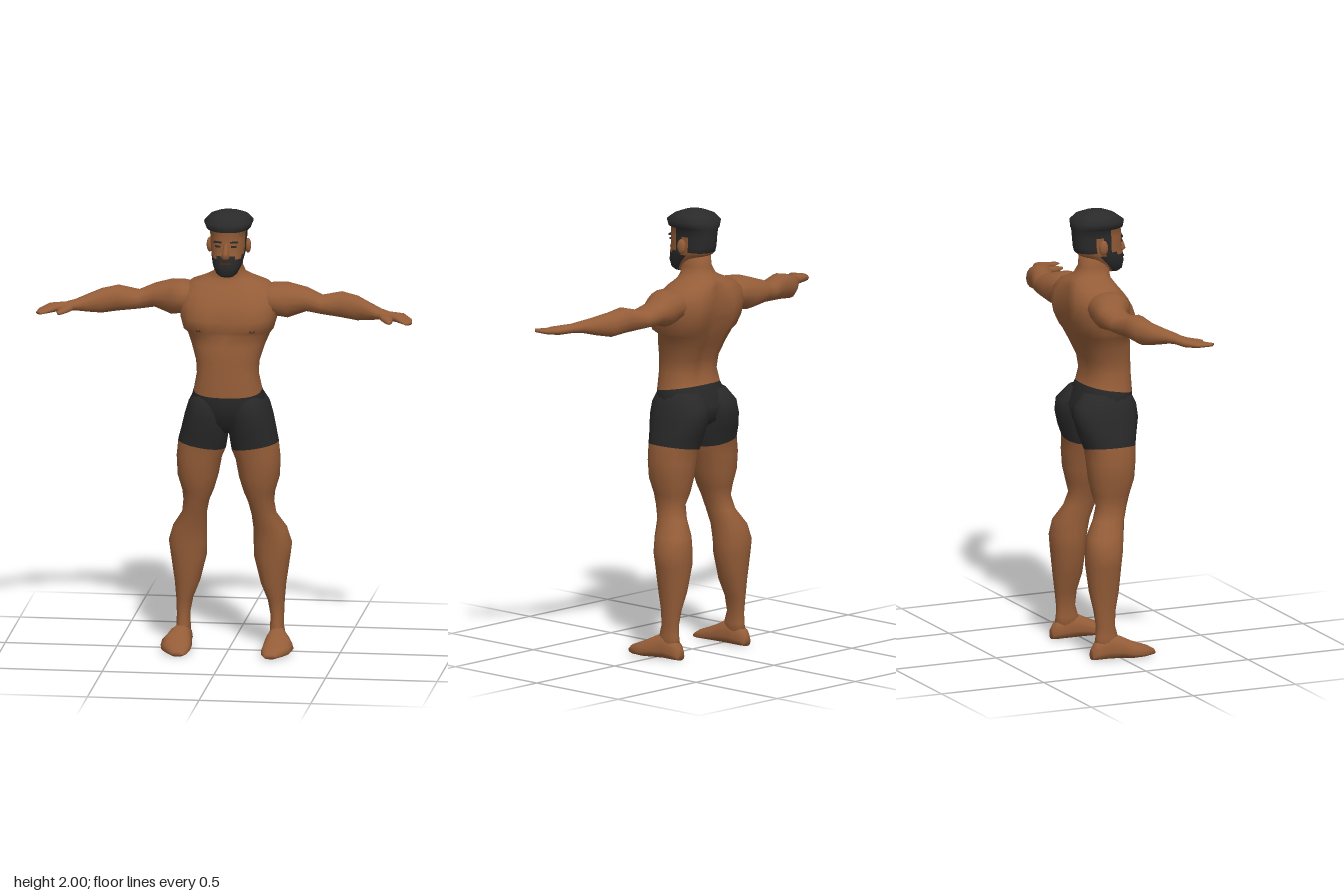
import * as THREE from 'three';

const mat = (name, color) => {
  const m = new THREE.MeshStandardMaterial({ color });
  m.name = name;
  return m;
};
const skin = mat('skin', 0x955d38);
const shorts = mat('shorts fabric', 0x282828);
const hair = mat('hair', 0x2a2a2a);
const dark = mat('dark brown', 0x4a2a1c);

// Closed skin through rings of points; pick(row, angle) gives the material index of a cell.
function loft(name, rings, mats, pick = () => 0, side = 1) {
  const n = rings[0].length, pos = [], cells = mats.map(() => []);
  rings.forEach(r => r.forEach(p => pos.push(p[0] * side, p[1], p[2])));
  const tri = (m, a, b, c) => (side > 0 ? cells[m].push(a, b, c) : cells[m].push(a, c, b));
  for (let i = 0; i < rings.length - 1; i++)
    for (let j = 0; j < n; j++) {
      const k = (j + 1) % n, a = i * n + j, b = i * n + k, c = a + n, d = b + n;
      const m = pick(i, ((j + 0.5) / n) * Math.PI * 2);
      tri(m, a, c, b);
      tri(m, b, c, d);
    }
  // end caps
  [0, rings.length - 1].forEach(i => {
    const centre = [0, 1, 2].map(q => rings[i].reduce((s, p) => s + p[q], 0) / n);
    const id = pos.length / 3, m = pick(i ? i - 1 : 0, 0);
    pos.push(centre[0] * side, centre[1], centre[2]);
    for (let j = 0; j < n; j++) {
      const a = i * n + j, b = i * n + ((j + 1) % n);
      if (i) tri(m, a, id, b); else tri(m, a, b, id);
    }
  });
  const g = new THREE.BufferGeometry();
  g.setAttribute('position', new THREE.Float32BufferAttribute(pos, 3));
  let start = 0;
  cells.forEach((c, m) => { g.addGroup(start, c.length, m); start += c.length; });
  g.setIndex(cells.flat());
  g.computeVertexNormals();
  const mesh = new THREE.Mesh(g, mats);
  mesh.name = name;
  return mesh;
}

// Super-ellipse outline as pairs of values from -1 to 1.
const outline = (n, e) => Array.from({ length: n }, (_, j) => {
  const a = (j / n) * Math.PI * 2, f = v => (Math.abs(v) < 1e-9 ? 0 : Math.sign(v) * Math.abs(v) ** (2 / e));
  return [f(Math.cos(a)), f(Math.sin(a))];
});

// Level ring: height, x range, z range, roundness, front dip, outer tilt, spine and chest grooves.
const level = (n, y, x0, x1, zf, zb, e = 2.2, dip = 0, tilt = 0, back = 0, front = 0) =>
  outline(n, e).map(([u, v]) => {
    const groove = Math.max(0, 1 - Math.abs(u) * 3.5) * (v < 0 ? back : -front);
    return [(x0 + x1) / 2 + u * (x1 - x0) / 2, y - dip * v + tilt * u, (zf + zb) / 2 + v * (zf - zb) / 2 + groove];
  });

// Upright ring across a limb: front edge (x, z), back edge (x, z), bottom, top.
const across = (n, xf, zf, xb, zb, y0, y1, e = 2.2) => outline(n, e).map(([u, v]) =>
  [(xf + xb) / 2 + u * (xf - xb) / 2, (y0 + y1) / 2 + v * (y1 - y0) / 2, (zf + zb) / 2 + u * (zf - zb) / 2]);

function plate(name, material, w, h, x, y, z, ry = 0) {
  const m = new THREE.Mesh(new THREE.BoxGeometry(w, h, 0.008), material);
  m.name = name;
  m.position.set(x, y, z);
  m.rotation.y = ry;
  return m;
}

function makeTorso() {
  // height, half width, front, back, roundness, front dip, spine groove, chest groove
  const rows = [
    [1.0, .04, .06, -.04, 2], [1.05, .13, .112, -.12, 2.2], [1.12, .176, .134, -.135, 2.3],
    [1.195, .152, .137, -.088, 2.4, .02], [1.27, .138, .132, -.075, 2.4, 0, .012], [1.33, .142, .13, -.085, 2.4, 0, .015],
    [1.4, .164, .128, -.12, 2.3, 0, .02], [1.45, .185, .115, -.145, 2.3, 0, .025], [1.468, .2, .134, -.153, 2.7, 0, .028, .012],
    [1.52, .215, .14, -.177, 2.7, 0, .035, .014], [1.58, .225, .12, -.19, 2.5, 0, .04, .01], [1.63, .22, .09, -.182, 2.3, 0, .035],
    [1.67, .175, .06, -.165, 2.2, 0, .02], [1.695, .11, .045, -.14, 2.1], [1.715, .073, .045, -.115], [1.75, .06, .05, -.095], [1.82, .057, .05, -.09],
  ];
  const rings = rows.map(([y, w, f, b, e, dip, back, front]) => level(24, y, -w, w, f, b, e, dip, 0, back, front));
  return loft('torso and waistband', rings, [skin, shorts], i => (i < 3 ? 1 : 0));
}

function makeLeg(s) {
  // height, inner x, outer x, front, back
  const rows = [
    [.04, .175, .25, 0, -.12], [.1, .178, .24, -.005, -.11], [.15, .18, .24, -.02, -.108], [.22, .167, .243, -.015, -.117],
    [.3, .135, .25, .003, -.13], [.42, .105, .268, .015, -.142], [.48, .104, .276, .02, -.145], [.55, .104, .255, .03, -.135],
    [.62, .1, .211, .048, -.095], [.68, .087, .203, .064, -.075], [.73, .066, .208, .08, -.09], [.8, .045, .229, .1, -.105],
    [.88, .03, .233, .108, -.112], [.94, .012, .225, .113, -.115], [1.0, 0, .214, .124, -.14], [1.07, -.003, .198, .139, -.162],
    [1.13, 0, .18, .135, -.16], [1.185, .02, .15, .11, -.105],
  ];
  const rings = rows.map(([y, x0, x1, f, b], i) => level(16, y, x0, x1, f, b, 2.2, 0, i === 13 ? .018 : 0));
  return loft('leg', rings, [skin, shorts], i => (i < 13 ? 0 : 1), s);
}

function makeFoot(s) {
  // z, inner x, outer x, top
  const rows = [[-.132, .19, .235, .05], [-.11, .174, .25, .08], [-.05, .17, .255, .105], [0, .164, .275, .1],
    [.05, .157, .299, .075], [.1, .156, .291, .055], [.14, .163, .265, .04], [.17, .18, .235, .022]];
  const rings = rows.map(([z, x0, x1, top]) => outline(14, 2.8).map(([u, v]) =>
    [(x0 + x1) / 2 + v * (x1 - x0) / 2 * (u > 0 ? 1 - .3 * u : 1), top / 2 * (1 + u), z]));
  return loft('foot', rings, [skin], undefined, s);
}

function makeArm(s) {
  const g = new THREE.Group();
  g.name = s > 0 ? 'leftArm' : 'rightArm';
  // front x, front z, back x, back z, bottom, top
  const arm = [
    [.1, .03, .1, -.13, 1.54, 1.65], [.2, .062, .2, -.14, 1.525, 1.67], [.26, .035, .26, -.148, 1.512, 1.667],
    [.34, -.018, .34, -.155, 1.535, 1.64], [.41, -.005, .41, -.13, 1.528, 1.612], [.5, .004, .5, -.102, 1.52, 1.635],
    [.57, .015, .575, -.088, 1.511, 1.62], [.625, .048, .64, -.04, 1.523, 1.6], [.665, .075, .69, .005, 1.535, 1.585],
    [.7, .088, .73, .03, 1.537, 1.577], [.755, .11, .8, .05, 1.535, 1.575], [.785, .15, .835, .1, 1.538, 1.562], [.815, .187, .842, .16, 1.542, 1.555],
  ];
  const thumb = [[.67, .06, .73, .05, 1.54, 1.575], [.695, .11, .75, .095, 1.536, 1.565],
    [.722, .15, .752, .142, 1.536, 1.558], [.736, .168, .747, .166, 1.541, 1.552]];
  g.add(loft('arm and hand', arm.map(r => across(14, ...r)), [skin], undefined, s));
  g.add(loft('thumb', thumb.map(r => across(8, ...r)), [skin], undefined, s));
  return g;
}

function makeHead() {
  const g = new THREE.Group();
  g.name = 'head';
  // height, half width, front, back
  const rows = [
    [1.717, .03, .092, .035], [1.73, .046, .108, .01], [1.765, .064, .114, -.04], [1.8, .072, .111, -.095], [1.815, .075, .106, -.112],
    [1.84, .078, .102, -.118], [1.885, .08, .103, -.122], [1.92, .083, .098, -.125], [1.925, .097, .106, -.127],
    [1.955, .109, .109, -.128], [1.98, .085, .075, -.102], [1.995, .048, .035, -.06], [2, .015, .005, -.025],
  ];
  const rings = rows.map(([y, w, f, b]) => level(24, y, -w, w, f, b, 2.4));
  // beard, sideburns, moustache and hairline
  const paint = (i, a) => {
    const v = Math.sin(a);
    if (i >= 7 || (i >= 4 && v < -.3) || (i === 6 && v < .3)) return 1;
    if (i < 3) return v > -.2 ? 1 : 0;
    if (i === 3) return v > 0 && v < .6 || v > .9 ? 1 : 0;
    return v > 0 && v < .25 ? 1 : 0;
  };
  g.add(loft('face, beard and hair', rings, [skin, hair], paint));
  // nose
  const nose = [[1.8, .012, .112, .09], [1.812, .019, .131, .09], [1.83, .014, .126, .09], [1.875, .008, .106, .09]];
  g.add(loft('nose', nose.map(([y, w, f, b]) => level(8, y, -w, w, f, b)), [skin]));
  g.add(plate('mouth', dark, .045, .009, 0, 1.783, .111));
  for (const s of [-1, 1]) {
    g.add(plate('eye', hair, .026, .008, s * .035, 1.858, .094, s * .25));
    g.add(plate('eyebrow', hair, .036, .008, s * .036, 1.878, .096, s * .25));
    const ear = new THREE.Mesh(new THREE.SphereGeometry(1, 10, 8), skin);
    ear.name = 'ear';
    ear.scale.set(.014, .034, .021);
    ear.position.set(s * .085, 1.842, -.014);
    ear.rotation.y = s * .3;
    g.add(ear);
  }
  return g;
}

export function createModel() {
  const model = new THREE.Group();
  model.name = 'standing man';
  model.add(makeTorso(), makeHead());
  for (const s of [1, -1]) {
    model.add(makeLeg(s), makeFoot(s), makeArm(s));
    model.add(plate('nipple', dark, .022, .012, s * .12, 1.477, .116, s * .35));
  }
  return model;
}
